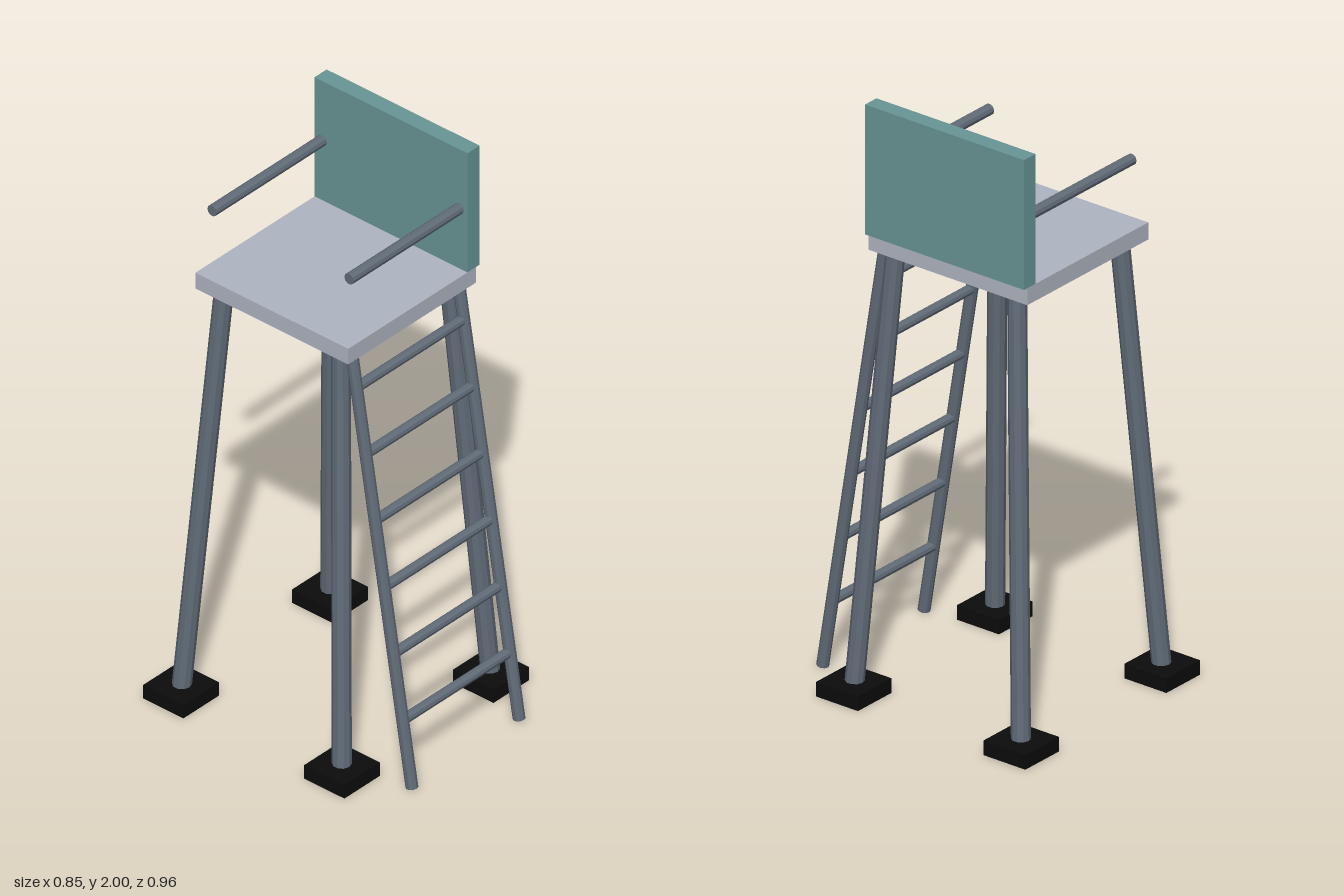
import * as THREE from 'three';

const mat = (name, color, flatShading = false) => {
  const m = new THREE.MeshStandardMaterial({ color, flatShading });
  m.name = name;
  return m;
};

export function createModel() {
  const group = new THREE.Group();
  const steel = mat('slate steel', 0x616c78, true);
  const pale = mat('pale grey', 0xb0b6c2);
  const teal = mat('teal', 0x699696);
  const black = mat('black', 0x0c0c0c);

  const add = (name, geometry, material) => {
    const mesh = new THREE.Mesh(geometry, material);
    mesh.name = name;
    group.add(mesh);
    return mesh;
  };
  // Box given by its minimum and maximum corners
  const box = (name, a, b, material) =>
    add(name, new THREE.BoxGeometry(b[0] - a[0], b[1] - a[1], b[2] - a[2]), material)
      .position.set((a[0] + b[0]) / 2, (a[1] + b[1]) / 2, (a[2] + b[2]) / 2);
  // Straight faceted bar between two points
  const bar = (name, a, b, radius) => {
    const p = new THREE.Vector3(...a), q = new THREE.Vector3(...b);
    const d = q.clone().sub(p);
    const mesh = add(name, new THREE.CylinderGeometry(radius, radius, d.length(), 10), steel);
    mesh.position.copy(p).add(q).multiplyScalar(0.5);
    mesh.quaternion.setFromUnitVectors(new THREE.Vector3(0, 1, 0), d.normalize());
  };

  // Platform and side panel
  box('platform', [-0.298, 1.5, -0.38], [0.294, 1.558, 0.244], pale);
  box('sidePanel', [0.254, 1.558, -0.38], [0.31, 2, 0.244], teal);

  // Arm rails
  for (const z of [-0.349, 0.21]) bar('armRail', [-0.256, 1.78, z], [0.256, 1.78, z], 0.019);

  // Splayed legs with square feet
  for (const x of [-1, 1]) {
    for (const [zFoot, zTop] of [[0.26, 0.172], [-0.397, -0.305]]) {
      bar('leg', [x * 0.346, 0.01, zFoot], [x * 0.25, 1.505, zTop], 0.031);
      box('foot', [x * 0.345 - 0.082, 0, zFoot - 0.082], [x * 0.345 + 0.082, 0.05, zFoot + 0.082], black);
    }
  }

  // Sloping ladder
  const ladderZ = (y) => 0.46 - 0.163 * y;
  for (const x of [-0.248, 0.248]) bar('ladderRail', [x, 0.004, ladderZ(0)], [x, 1.505, ladderZ(1.505)], 0.02);
  for (let i = 0; i < 6; i++) {
    const y = 0.235 + i * 0.23;
    bar('rung', [-0.24, y, ladderZ(y)], [0.24, y, ladderZ(y)], 0.017);
  }
  return group;
}
